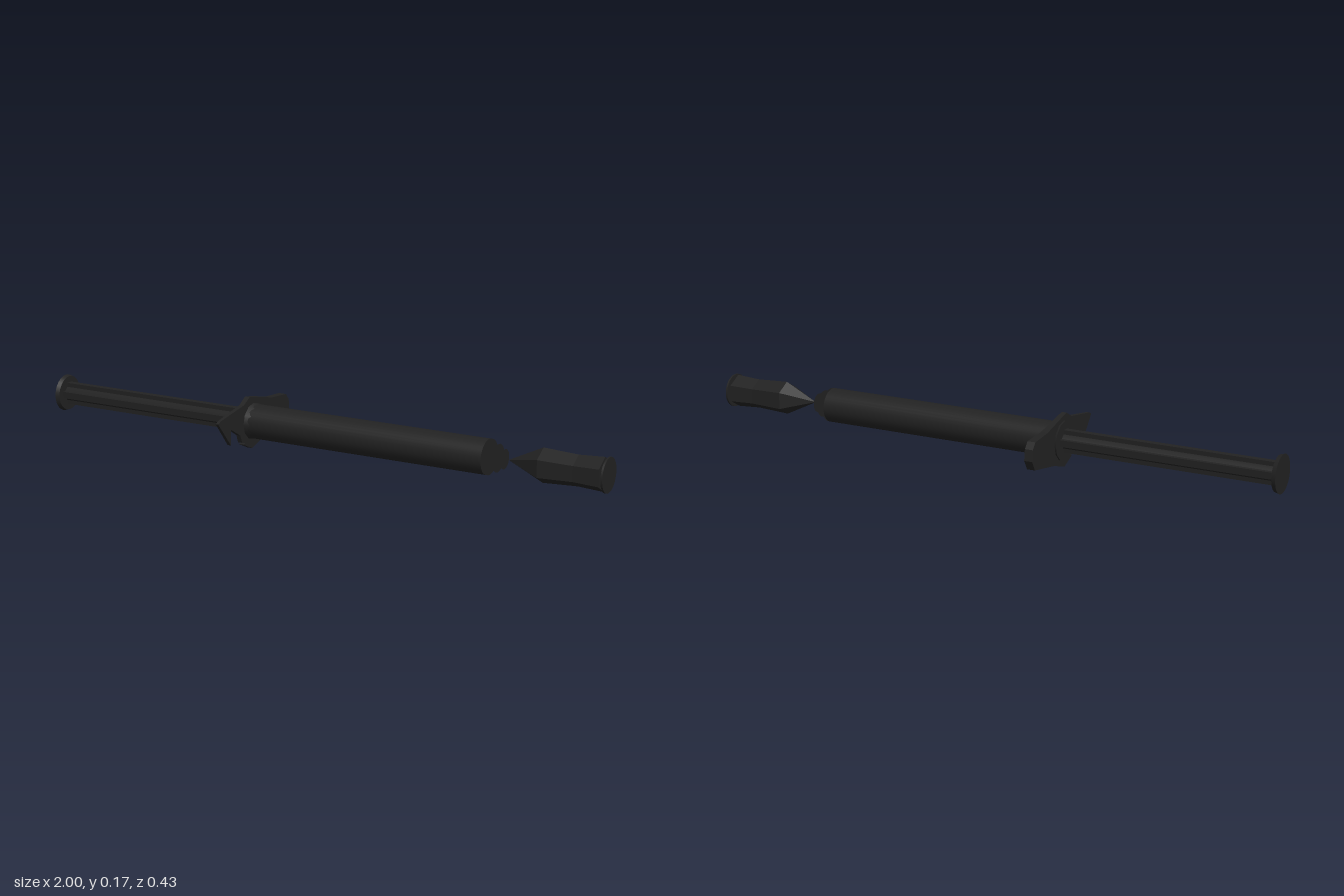
import * as THREE from 'three';

const AXIS_Y = 0.092, AXIS_Z = 0.007;

export function createModel() {
  const model = new THREE.Group();
  model.name = 'syringe';
  const black = new THREE.MeshStandardMaterial({ color: 0x222222 });
  black.name = 'black plastic';
  const blackSheet = new THREE.MeshStandardMaterial({ color: 0x222222, side: THREE.DoubleSide });
  blackSheet.name = 'black thin plastic';

  // Everything turned or lying along x shares one axis
  const add = (name, geometry, material = black) => {
    const mesh = new THREE.Mesh(geometry, material);
    mesh.name = name;
    model.add(mesh);
    return mesh;
  };
  const onAxis = (geometry) => geometry.translate(0, AXIS_Y, AXIS_Z);
  const rod = (name, x0, x1, r0, r1 = r0, sides = 32) =>
    add(name, onAxis(new THREE.CylinderGeometry(r1, r0, x1 - x0, sides)
      .rotateZ(-Math.PI / 2).translate((x0 + x1) / 2, 0, 0)));
  const sheet = (name, x, r) =>
    add(name, onAxis(new THREE.CircleGeometry(r, 24).rotateY(Math.PI / 2).translate(x, 0, 0)), blackSheet);

  // Plunger: thumb disc and a rod of crossed ribs
  rod('thumbDisc', -1, -0.986, 0.062, 0.058);
  for (const [name, h, d] of [['verticalRib', 0.074, 0.022], ['horizontalRib', 0.022, 0.074]]) {
    add(name, onAxis(new THREE.BoxGeometry(0.79, h, d).translate(-0.594, 0, 0)));
  }
  rod('rodCore', -0.988, -0.2, 0.026, 0.026, 12);

  // Barrel with its collar and end plate
  rod('barrel', -0.25, 0.602, 0.057);
  rod('collar', -0.27, -0.225, 0.066, 0.057, 12);
  sheet('barrelEndPlate', 0.608, 0.057);

  // Thin discs at the neck, between barrel and cap
  sheet('largeNeckDisc', 0.635, 0.045);
  sheet('smallNeckDisc', 0.657, 0.032);

  // Finger flange with a jagged front edge, outline given as [z, y]
  const outline = [
    [0.215, 0.128], [0.2, 0.135], [0.065, 0.157], [0.03, 0.177], [-0.015, 0.168],
    [-0.105, 0.146], [-0.193, 0.138], [-0.21, 0.117], [-0.214, 0.08], [-0.195, 0.048],
    [-0.06, 0.025], [0.018, 0.002], [0.073, 0.027], [0.057, 0.029], [0.077, 0.034],
    [0.0875, 0.061], [0.141, 0.093], [0.143, 0.041],
  ];
  const shape = new THREE.Shape(outline.map(([z, y]) => new THREE.Vector2(-z, y)));
  const flange = new THREE.ExtrudeGeometry(shape, { depth: 1, bevelEnabled: false }).rotateY(Math.PI / 2);
  const p = flange.attributes.position;
  for (let i = 0; i < p.count; i++) {
    // the front wing is thinner than the back wing
    const thickness = THREE.MathUtils.mapLinear(p.getZ(i), -0.21, 0.21, 0.028, 0.01);
    p.setX(i, -0.254 + (p.getX(i) - 0.5) * thickness);
  }
  flange.computeVertexNormals();
  add('fingerFlange', flange);

  // Faceted tip cap: six flat sides, pointed toward the barrel
  const profile = [[0, 0.67], [0.056, 0.785], [0.05, 0.9], [0.055, 0.985], [0, 0.985]]
    .map(([r, x]) => new THREE.Vector2(r, x));
  const cap = new THREE.LatheGeometry(profile, 6, Math.PI / 2).toNonIndexed();
  cap.computeVertexNormals();
  add('tipCap', onAxis(cap.rotateZ(-Math.PI / 2)));
  rod('capEndDisc', 0.994, 1, 0.056);

  return model;
}
